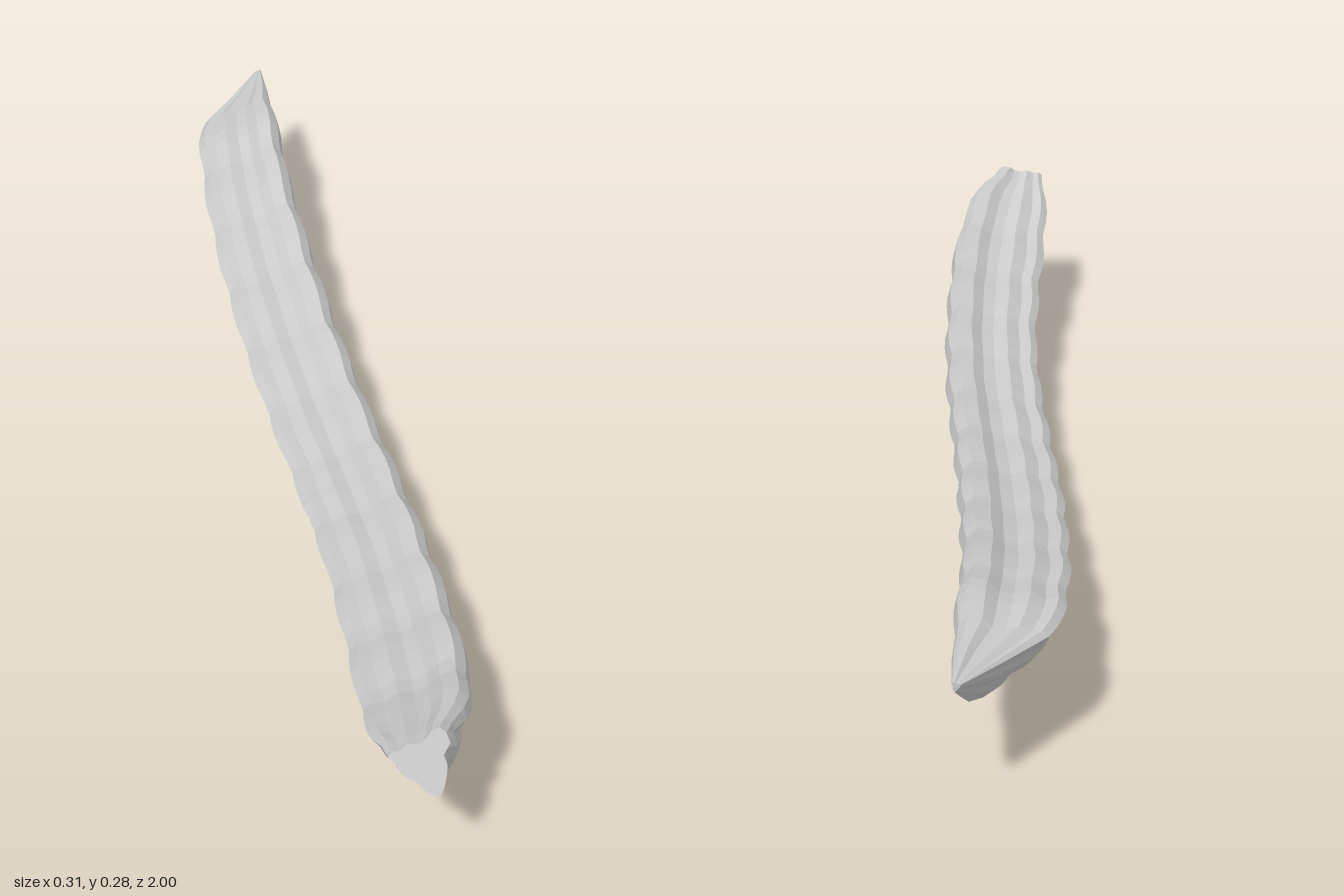
import * as THREE from 'three';

// Outline limits along the pod: z, left x, right x, bottom y, top y
const STATIONS = [
  [-1, 0.142, 0.155, 0.218, 0.234],
  [-0.92, 0.07, 0.15, 0.155, 0.247],
  [-0.85, 0.0, 0.145, 0.115, 0.26],
  [-0.77, -0.025, 0.137, 0.085, 0.266],
  [-0.6, -0.05, 0.117, 0.06, 0.24],
  [-0.4, -0.067, 0.106, 0.035, 0.208],
  [-0.2, -0.076, 0.097, 0.018, 0.185],
  [0, -0.08, 0.092, 0.005, 0.17],
  [0.2, -0.083, 0.088, -0.002, 0.171],
  [0.4, -0.093, 0.077, 0.012, 0.188],
  [0.6, -0.118, 0.058, 0.033, 0.21],
  [0.77, -0.145, 0.032, 0.06, 0.24],
  [0.88, -0.159, -0.005, 0.1, 0.272],
  [0.95, -0.155, -0.065, 0.2, 0.286],
];

// Fluted, leaning wedge section (across, up), from the keel round by the left side
const PROFILE = [
  [0.42, 0], [0.62, 0.13], [0.76, 0.3], [0.82, 0.45], [0.74, 0.6],
  [1, 0.75], [0.92, 0.9], [0.72, 1], [0.42, 0.96], [0.2, 0.86], [-0.05, 0.82],
  [-0.35, 0.85], [-0.62, 0.77], [-0.85, 0.78], [-1, 0.71],
  [-0.78, 0.58], [-0.7, 0.47], [-0.48, 0.36], [-0.15, 0.27], [0.05, 0.13],
];

const LUMP = 0.165;
const STEP = LUMP / 5;

function limitsAt(z) {
  let k = 0;
  while (k < STATIONS.length - 2 && z > STATIONS[k + 1][0]) k++;
  const a = STATIONS[k], b = STATIONS[k + 1];
  const t = THREE.MathUtils.clamp((z - a[0]) / (b[0] - a[0]), 0, 1);
  return a.map((v, i) => THREE.MathUtils.lerp(v, b[i], t));
}

function ringAt(z, isFront) {
  const [, x0, x1, y0, y1] = limitsAt(z);
  const swell = Math.abs(Math.sin(Math.PI * (z + 0.865) / LUMP));
  const s = isFront || z < -0.95 ? 1 : 0.9 + 0.1 * Math.pow(swell, 0.7);
  // Small nick in the keel
  const nick = 0.045 * (1 - Math.abs(z - 0.14) / 0.095);
  return PROFILE.map(([u, v]) => {
    const x = (x0 + x1) / 2 + u * s * (x1 - x0) / 2;
    const y = y0 + (0.55 + (v - 0.55) * s) * (y1 - y0);
    return [x, Math.max(y, nick, 0), isFront ? 1 - 0.05 * v : z];
  });
}

function meshFrom(name, triangles, material) {
  const geometry = new THREE.BufferGeometry();
  geometry.setAttribute('position', new THREE.Float32BufferAttribute(triangles.flat(), 3));
  geometry.computeVertexNormals(); // unshared corners give flat facets
  const mesh = new THREE.Mesh(geometry, material);
  mesh.name = name;
  return mesh;
}

function fan(ring, flip) {
  const mid = [0, 1, 2].map((k) => ring.reduce((sum, p) => sum + p[k], 0) / ring.length);
  return ring.flatMap((p, j) => {
    const q = ring[(j + 1) % ring.length];
    return flip ? [mid, q, p] : [mid, p, q];
  });
}

export function createModel() {
  const group = new THREE.Group();
  group.name = 'pod';
  const grey = new THREE.MeshStandardMaterial({ color: 0xcccccc, side: THREE.DoubleSide });
  grey.name = 'light grey';

  // Rings from the pointed back to the cut front
  const rings = [ringAt(-1, false), ringAt(-0.96, false)];
  for (let z = -0.92; z < 0.93; z += STEP) rings.push(ringAt(z, false));
  rings.push(ringAt(0.95, true));

  // Lumpy shell
  const shell = [];
  for (let i = 0; i < rings.length - 1; i++) {
    for (let j = 0; j < PROFILE.length; j++) {
      const n = (j + 1) % PROFILE.length;
      const a = rings[i][j], b = rings[i][n], c = rings[i + 1][n], d = rings[i + 1][j];
      shell.push(a, b, c, a, c, d);
    }
  }
  group.add(meshFrom('shell', shell, grey));

  // End faces
  group.add(meshFrom('frontCut', fan(rings[rings.length - 1], false), grey));
  group.add(meshFrom('backTip', fan(rings[0], true), grey));
  return group;
}
